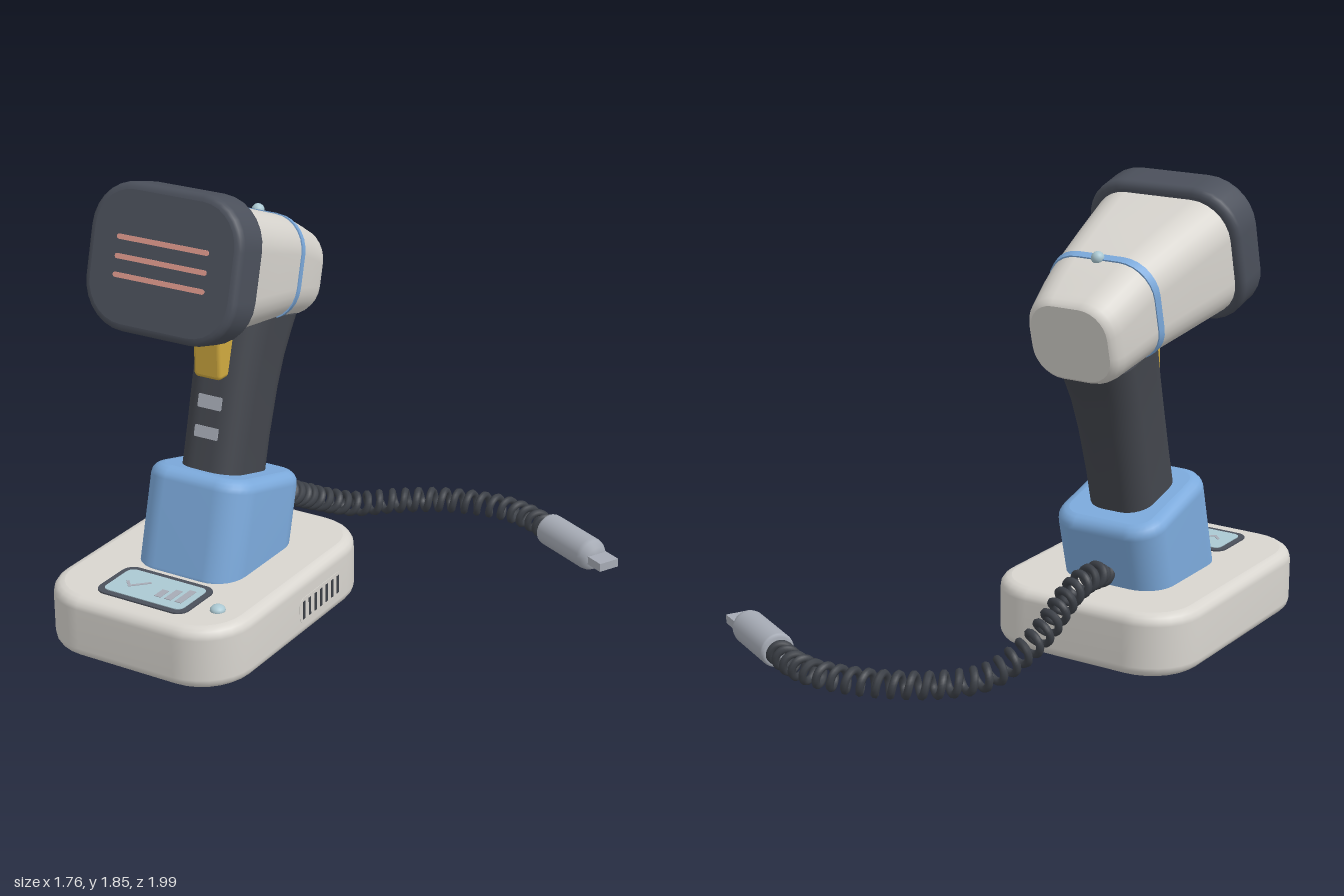
import * as THREE from 'three';

const paint = (name, color) => {
  const m = new THREE.MeshStandardMaterial({ color });
  m.name = name;
  return m;
};

// Counter-clockwise rounded rectangle, [x, u] points
function roundedRect(cu, hx, hu, r, n = 7) {
  r = Math.min(r, hx, hu);
  const pts = [];
  [[1, 1], [-1, 1], [-1, -1], [1, -1]].forEach(([sx, su], k) => {
    for (let i = 0; i <= n; i++) {
      const a = (k + i / n) * Math.PI / 2;
      pts.push([sx * (hx - r) + r * Math.cos(a), cu + su * (hu - r) + r * Math.sin(a)]);
    }
  });
  return pts;
}

// Skin over rounded-rectangle sections [t, centreU, halfX, halfU, radius] along +z, with flat caps
function loft(sections) {
  const pos = [], idx = [];
  const rings = sections.map(([t, cu, hx, hu, r]) => roundedRect(cu, hx, hu, r).map(([x, u]) => [x, u, t]));
  const n = rings[0].length;
  rings.forEach(ring => ring.forEach(p => pos.push(...p)));
  for (let s = 0; s < rings.length - 1; s++) {
    for (let i = 0; i < n; i++) {
      const j = (i + 1) % n, a = s * n, b = a + n;
      idx.push(a + i, a + j, b + j, a + i, b + j, b + i);
    }
  }
  [0, rings.length - 1].forEach((s, end) => {
    const c = pos.length / 3;
    pos.push(0, sections[s][1], sections[s][0]);
    rings[s].forEach(p => pos.push(...p));
    for (let i = 0; i < n; i++) {
      const p = c + 1 + i, q = c + 1 + (i + 1) % n;
      idx.push(c, end ? p : q, end ? q : p);
    }
  });
  const g = new THREE.BufferGeometry();
  g.setAttribute('position', new THREE.Float32BufferAttribute(pos, 3));
  g.setIndex(idx);
  g.computeVertexNormals();
  return g;
}

// Straight block with softly rounded ends
function softBlock(t0, t1, cu, hx, hu, r, bevel) {
  const rows = [];
  const steps = 4;
  for (const end of [0, 1]) {
    for (let i = 0; i <= steps; i++) {
      const a = (end ? i : steps - i) / steps * Math.PI / 2;
      const inset = bevel * (1 - Math.cos(a)), lift = bevel * (1 - Math.sin(a));
      rows.push([end ? t1 - lift : t0 + lift, cu, hx - inset, hu - inset, Math.max(r - inset, 0.01)]);
    }
  }
  return loft(rows);
}

const plate = (hx, hu, r, thick) => loft([[0, 0, hx, hu, r], [thick, 0, hx, hu, r]]);
const upright = g => g.rotateX(-Math.PI / 2); // loft axis becomes +y, u becomes -z

export function createModel() {
  const shell = paint('warm white shell', 0xd8d5cf);
  const rubber = paint('dark rubber', 0x4b505b);
  const grip = paint('charcoal grip', 0x43464d);
  const cable = paint('cable black', 0x3c4047);
  const blue = paint('blue accent', 0x7caadc);
  const yellow = paint('trigger yellow', 0xcfa93f);
  const metal = paint('silver grey', 0xa6abb5);
  const glass = paint('pale display', 0xabc8d2);
  const beam = paint('salmon', 0xe09a8e);

  const root = new THREE.Group();
  const add = (parent, name, geo, mat, x = 0, y = 0, z = 0) => {
    const m = new THREE.Mesh(geo, mat);
    m.name = name;
    m.position.set(x, y, z);
    parent.add(m);
    return m;
  };

  // Charging base
  const base = new THREE.Group();
  base.name = 'base';
  base.position.x = -0.435;
  root.add(base);
  add(base, 'baseBody', upright(softBlock(0, 0.26, -0.418, 0.443, 0.578, 0.22, 0.045)), shell);
  add(base, 'displayFrame', upright(plate(0.21, 0.124, 0.05, 0.009)), rubber, 0, 0.257, 0.778);
  add(base, 'displayScreen', upright(plate(0.185, 0.099, 0.03, 0.003)), glass, 0, 0.266, 0.778);
  for (let i = 0; i < 3; i++) {
    const h = 0.03 + i * 0.012;
    add(base, 'displayBar', new THREE.BoxGeometry(0.03, 0.003, 2 * h), metal, 0.045 + i * 0.048, 0.2695, 0.83 - h);
  }
  [[-0.115, 0.795, 0.05, -0.8], [-0.072, 0.778, 0.09, 0.8]].forEach(([x, z, len, turn]) => {
    add(base, 'displayTick', new THREE.BoxGeometry(len, 0.003, 0.012), metal, x, 0.2695, z).rotation.y = turn;
  });
  add(base, 'baseLight', new THREE.SphereGeometry(0.031, 20, 12).scale(1, 0.7, 1), glass, 0.3, 0.262, 0.79);

  // Side vent with seven slots
  add(base, 'ventPanel', plate(0.16, 0.054, 0.03, 0.006).rotateY(Math.PI / 2), shell, 0.439, 0.12, 0.265);
  for (let i = 0; i < 7; i++) {
    add(base, 'ventSlot', new THREE.BoxGeometry(0.006, 0.078, 0.016), cable, 0.4435, 0.12, 0.395 - i * 0.0435);
  }

  // Everything leaning back with the handle shares one tilted frame
  const scanner = new THREE.Group();
  scanner.name = 'scanner';
  scanner.position.x = -0.435;
  scanner.rotation.x = -Math.PI / 12;
  root.add(scanner);

  add(scanner, 'cradle', upright(softBlock(0.05, 0.508, -0.409, 0.238, 0.265, 0.125, 0.05)), blue);
  add(scanner, 'handle', upright(loft([
    [0.45, -0.424, 0.138, 0.166, 0.1],
    [0.65, -0.424, 0.138, 0.166, 0.1],
    [0.85, -0.42, 0.143, 0.17, 0.105],
    [0.98, -0.412, 0.149, 0.176, 0.11],
    [1.08, -0.4, 0.156, 0.186, 0.115],
    [1.15, -0.39, 0.162, 0.194, 0.12],
  ])), grip);
  [[0.784, 0.027], [0.662, 0.024]].forEach(([y, h]) => {
    add(scanner, 'gripMark', plate(0.055, h, 0.005, 0.008), metal, 0, y, 0.584);
  });

  // Trigger hangs vertically, so it undoes the tilt
  const trigger = add(scanner, 'trigger', softBlock(-0.09, 0.09, 0, 0.064, 0.1, 0.02, 0.015), yellow, 0, 1.0, 0.573);
  trigger.rotation.x = Math.PI / 12;

  // Tapered head
  add(scanner, 'headShell', loft([
    [0.148, 1.311, 0.168, 0.152, 0.11],
    [0.156, 1.311, 0.18, 0.162, 0.12],
    [0.175, 1.311, 0.191, 0.172, 0.125],
    [0.205, 1.312, 0.2, 0.179, 0.13],
    [0.3, 1.326, 0.218, 0.191, 0.135],
    [0.42, 1.339, 0.235, 0.206, 0.14],
    [0.65, 1.343, 0.271, 0.228, 0.15],
    [0.93, 1.346, 0.313, 0.252, 0.16],
  ]), shell);
  add(scanner, 'headBand', loft([
    [0.404, 1.338, 0.237, 0.209, 0.142],
    [0.436, 1.34, 0.242, 0.212, 0.142],
  ]), blue);
  add(scanner, 'headLight', new THREE.SphereGeometry(0.026, 20, 12), glass, 0, 1.548, 0.41);
  add(scanner, 'bezel', softBlock(0.885, 1.055, 1.35, 0.342, 0.286, 0.19, 0.03), rubber);
  [1.422, 1.348, 1.277].forEach(y => {
    add(scanner, 'scanLine', plate(0.207, 0.01, 0.01, 0.006), beam, 0, y, 1.052);
  });

  // Coiled cord winding around a curved path
  const path = new THREE.CatmullRomCurve3([
    [-0.435, 0.31, 0.09], [-0.435, 0.322, -0.06], [-0.436, 0.3, -0.18], [-0.437, 0.22, -0.344],
    [-0.42, 0.165, -0.45], [-0.35, 0.09, -0.62], [-0.235, 0.076, -0.757], [-0.077, 0.076, -0.864],
    [0.08, 0.076, -0.92], [0.24, 0.076, -0.938], [0.375, 0.076, -0.905], [0.5, 0.078, -0.84],
  ].map(p => new THREE.Vector3(...p)));
  const turns = 30, perTurn = 14, coil = [];
  for (let i = 0; i <= turns * perTurn; i++) {
    const t = i / (turns * perTurn), a = i / perTurn * 2 * Math.PI;
    const dir = path.getTangentAt(t);
    const side = dir.clone().cross(new THREE.Vector3(0, 1, 0)).normalize();
    const up = side.clone().cross(dir);
    coil.push(path.getPointAt(t).addScaledVector(side, 0.041 * Math.cos(a)).addScaledVector(up, 0.041 * Math.sin(a)));
  }
  add(root, 'coiledCord', new THREE.TubeGeometry(new THREE.CatmullRomCurve3(coil), 900, 0.016, 7), cable);
  add(root, 'cordCollar', new THREE.CylinderGeometry(0.042, 0.046, 0.1, 20).rotateX(-Math.PI / 2), cable, -0.435, 0.312, 0.075);

  // Plug at the free end, built along +x
  const plug = new THREE.Group();
  plug.name = 'plug';
  plug.position.set(0.482, 0.078, -0.85);
  plug.rotation.y = -0.478;
  root.add(plug);
  const profile = [[0, 0], [0.058, 0], [0.068, 0.01], [0.07, 0.02], [0.07, 0.29], [0.066, 0.31], [0.048, 0.342], [0, 0.342]];
  const body = new THREE.LatheGeometry(profile.map(p => new THREE.Vector2(...p)), 28).rotateZ(-Math.PI / 2);
  add(plug, 'plugBody', body, metal);
  add(plug, 'plugTip', new THREE.BoxGeometry(0.11, 0.036, 0.095), metal, 0.368, 0, 0);

  return root;
}
